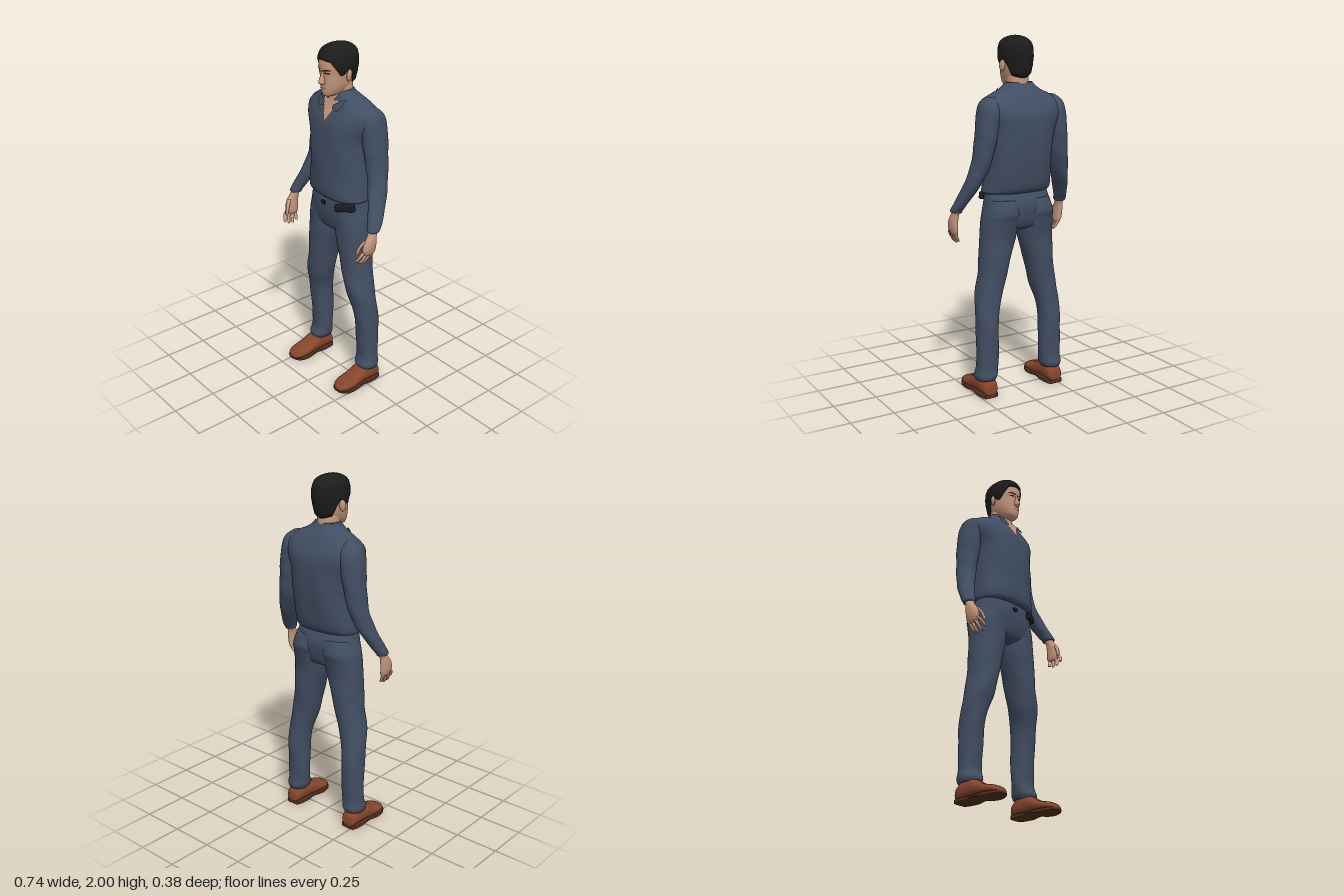
import * as THREE from 'three';
import { RoundedBoxGeometry } from 'three/addons/geometries/RoundedBoxGeometry.js';

const mat = (name, color, side = THREE.FrontSide) => {
  const m = new THREE.MeshStandardMaterial({ color, side });
  m.name = name;
  return m;
};

// Row = [height, centre x, half width, front z, back z]; smooth blend at t in 0..1
function rowAt(rows, t) {
  const f = t * (rows.length - 1), i = Math.min(Math.floor(f), rows.length - 2), u = f - i;
  const a = rows[Math.max(i - 1, 0)], b = rows[i], c = rows[i + 1], d = rows[Math.min(i + 2, rows.length - 1)];
  return b.map((v, k) => v + 0.5 * u * (c[k] - a[k] + u * (2 * a[k] - 5 * v + 4 * c[k] - d[k] + u * (3 * (v - c[k]) + d[k] - a[k]))));
}

function rowAtHeight(rows, y) {
  let lo = 0, hi = 1;
  for (let i = 0; i < 30; i++) {
    const m = (lo + hi) / 2;
    if (rowAt(rows, m)[0] < y) lo = m; else hi = m;
  }
  return rowAt(rows, lo);
}

const bend = (v, p) => Math.sign(v) * Math.pow(Math.abs(v), 2 / p);

function ringPoint([y, cx, rx, zf, zb], a, p, k = 1) {
  return [cx + k * rx * bend(Math.sin(a), p), y, (zf + zb) / 2 + k * (zf - zb) / 2 * bend(Math.cos(a), p)];
}

function build(pos, index) {
  const g = new THREE.BufferGeometry();
  g.setAttribute('position', new THREE.Float32BufferAttribute(pos, 3));
  g.setIndex(index);
  g.computeVertexNormals();
  return g;
}

// Closed skin over the rows; point(t, a) gives the surface
function skinOver(point, rings, n, caps = true) {
  const pos = [], index = [];
  for (let i = 0; i <= rings; i++)
    for (let j = 0; j < n; j++) pos.push(...point(i / rings, j / n * Math.PI * 2));
  for (let i = 0; i < rings; i++)
    for (let j = 0; j < n; j++) {
      const a = i * n + j, b = i * n + (j + 1) % n;
      index.push(a, b, a + n, b, b + n, a + n);
    }
  if (caps) for (const [ring, up] of [[0, false], [rings, true]]) {
    const c = pos.length / 3, mid = [0, 0, 0];
    for (let j = 0; j < n; j++) for (let k = 0; k < 3; k++) mid[k] += pos[(ring * n + j) * 3 + k] / n;
    pos.push(...mid);
    for (let j = 0; j < n; j++) {
      const a = ring * n + j, b = ring * n + (j + 1) % n;
      if (up) index.push(c, a, b); else index.push(c, b, a);
    }
  }
  return build(pos, index);
}

function loft(rows, { p = 2, n = 32, fold = () => 1 } = {}) {
  return skinOver((t, a) => {
    const r = rowAt(rows, t);
    return ringPoint(r, a, p, fold(a, r[0]));
  }, (rows.length - 1) * 5, n);
}

// Thin patch lying on the front of a lofted part
function patch(rows, p, x0, x1, low, high, off) {
  const pos = [], index = [], n = 12;
  for (let i = 0; i <= n; i++)
    for (let j = 0; j <= n; j++) {
      const x = x0 + (x1 - x0) * j / n, y = low(x) + (high(x) - low(x)) * i / n;
      const [, cx, rx, zf, zb] = rowAtHeight(rows, y);
      const q = Math.min(Math.abs((x - cx) / rx), 1);
      pos.push(x, y, (zf + zb) / 2 + (zf - zb) / 2 * Math.pow(1 - Math.pow(q, p), 1 / p) + off);
      if (i < n && j < n) {
        const a = i * (n + 1) + j;
        index.push(a, a + 1, a + n + 1, a + 1, a + n + 2, a + n + 1);
      }
    }
  return build(pos, index);
}

export function createModel() {
  const root = new THREE.Group();
  root.name = 'standingMan';
  const cloth = mat('navy cloth', 0x414e63, THREE.DoubleSide), skin = mat('skin', 0xc6977b, THREE.DoubleSide);
  const hairMat = mat('black hair', 0x1c1c1c, THREE.DoubleSide), leather = mat('brown leather', 0x87452b);
  const soleMat = mat('dark brown sole', 0x54301f), black = mat('black fittings', 0x1b1d21);
  const lipMat = mat('lips', 0xa56f5c, THREE.DoubleSide);
  const add = (name, geo, m, parent = root) => {
    const mesh = new THREE.Mesh(geo, m);
    mesh.name = name;
    parent.add(mesh);
    return mesh;
  };

  // Loose shirt, with a groove down the spine
  const shirt = [
    [1.15, -0.01, 0.18, 0.085, -0.09], [1.162, -0.008, 0.197, 0.11, -0.125], [1.2, -0.012, 0.196, 0.12, -0.148],
    [1.3, -0.012, 0.19, 0.12, -0.17], [1.4, -0.012, 0.19, 0.12, -0.185], [1.5, -0.014, 0.2, 0.112, -0.19],
    [1.58, -0.016, 0.232, 0.1, -0.185], [1.63, -0.016, 0.24, 0.08, -0.165], [1.66, -0.014, 0.222, 0.064, -0.148],
    [1.69, -0.016, 0.17, 0.052, -0.13], [1.71, -0.018, 0.125, 0.045, -0.115], [1.735, -0.02, 0.09, 0.035, -0.092],
    [1.752, -0.02, 0.076, 0.02, -0.08]];
  const shirtFold = (a, y) => {
    const mid = Math.exp(-(((y - 1.43) / 0.16) ** 2));
    return 1 + 0.008 * Math.sin(5 * a + 16 * y) - 0.07 * mid * Math.exp(-(((a - Math.PI) / 0.2) ** 2));
  };
  add('shirt', loft(shirt, { p: 2.4, n: 56, fold: shirtFold }), cloth);
  const vx = -0.012;
  add('openNeckline', patch(shirt, 2.4, vx - 0.055, vx + 0.055, x => 1.59 + Math.abs(x - vx) * 1.9, () => 1.705, 0.006), skin);
  for (const s of [-1, 1]) {
    const d = x => (Math.abs(x - vx) - 0.035) / 0.06;
    const ends = [vx + s * 0.035, vx + s * 0.095].sort((a, b) => a - b);
    add('collarFlap', patch(shirt, 2.4, ...ends, x => 1.665 - 0.02 * d(x) + 0.07 * Math.max(0, d(x) - 0.55),
      x => 1.685 + 0.035 * d(x), 0.014), cloth);
  }

  // Trousers: seat and two legs
  add('trouserSeat', loft([
    [0.935, -0.013, 0.03, 0.03, -0.04], [0.955, -0.013, 0.13, 0.065, -0.09], [0.98, -0.015, 0.2, 0.08, -0.112],
    [1.03, -0.015, 0.211, 0.092, -0.125], [1.1, -0.013, 0.195, 0.098, -0.13], [1.18, -0.012, 0.182, 0.088, -0.1]],
  { p: 2.4, n: 48 }), cloth);
  const offX = -0.013;
  for (const s of [-1, 1]) {
    const leg = [
      [0.1, 0.216, 0.055, 0.022, -0.098], [0.125, 0.214, 0.064, 0.03, -0.106], [0.16, 0.209, 0.063, 0.016, -0.1],
      [0.2, 0.2065, 0.063, 0.012, -0.1], [0.3, 0.205, 0.062, 0.02, -0.106], [0.4, 0.205, 0.06, 0.03, -0.11],
      [0.5, 0.197, 0.065, 0.045, -0.1], [0.6, 0.176, 0.075, 0.07, -0.095], [0.7, 0.154, 0.077, 0.077, -0.1],
      [0.8, 0.1375, 0.087, 0.08, -0.105], [0.9, 0.12, 0.1, 0.083, -0.108], [1.0, 0.11, 0.104, 0.083, -0.128],
      [1.05, 0.105, 0.1, 0.083, -0.142], [1.12, 0.1, 0.082, 0.07, -0.125]];
    add(s > 0 ? 'leftTrouserLeg' : 'rightTrouserLeg', loft(leg.map(([y, x, ...r]) => [y, s * x + offX, ...r]),
      { p: 2.2, n: 36, fold: (a, y) => 1 + (y < 0.8 ? 0.016 : 0.006) * Math.sin(3 * s * a + 30 * y) }), cloth);

    // Shoes are lofted heel to toe: [z, x, half width, -bottom, -top]
    const sx = s * 0.215 - 0.015;
    const shoe = [
      [-0.106, 0.022, 0.05], [-0.098, 0.04, 0.085], [-0.06, 0.05, 0.112], [-0.01, 0.052, 0.118], [0.03, 0.054, 0.108],
      [0.07, 0.057, 0.085], [0.11, 0.059, 0.07], [0.15, 0.054, 0.06], [0.178, 0.039, 0.047], [0.191, 0.016, 0.033]];
    const upper = shoe.map(([z, w, h]) => [z, sx, w, -0.014, -h]);
    const lift = [0.004, 0, 0, 0.001, 0.011, 0.004, 0, 0.002, 0.008, 0.012];
    const sole = shoe.map(([z, w], i) => [z * 1.01, sx, w + 0.003, -lift[i], -0.024]);
    add('shoeUpper', loft(upper, { p: 2.4 }).rotateX(Math.PI / 2), leather);
    add('shoeSole', loft(sole, { p: 6 }).rotateX(Math.PI / 2), soleMat);
  }

  // Sleeves and hands
  for (const s of [-1, 1]) {
    const arm = new THREE.Group();
    arm.name = s > 0 ? 'leftArm' : 'rightArm';
    root.add(arm);
    const place = rows => rows.map(([y, x, ...r]) => [y, s * x - 0.005 - 0.011 * Math.max(0, Math.min(1, (y - 1.06) / 0.5)), ...r]);
    add('sleeve', loft(place([
      [1.055, 0.335, 0.027, 0.076, 0.012], [1.066, 0.336, 0.033, 0.084, 0.008], [1.1, 0.325, 0.035, 0.07, -0.018],
      [1.2, 0.286, 0.043, 0.03, -0.078], [1.3, 0.253, 0.051, 0.002, -0.115], [1.4, 0.233, 0.054, 0.002, -0.135],
      [1.5, 0.219, 0.058, 0.008, -0.145], [1.6, 0.203, 0.062, 0.018, -0.145], [1.65, 0.195, 0.054, 0.005, -0.125],
      [1.682, 0.187, 0.02, -0.035, -0.085]]),
    { fold: (a, y) => 1 + 0.022 * Math.sin(2 * a + 48 * y) * (y < 1.5 ? 1 : 0.3) }), cloth, arm);
    add('palm', loft(place([
      [0.925, 0.334, 0.01, 0.1, 0.05], [0.94, 0.337, 0.017, 0.116, 0.038], [0.97, 0.341, 0.021, 0.122, 0.034],
      [1.01, 0.342, 0.022, 0.108, 0.032], [1.04, 0.339, 0.022, 0.085, 0.03], [1.085, 0.332, 0.023, 0.07, 0.01]]),
    { n: 24 }), skin, arm);
    // Four curled fingers and a thumb, each [knuckle, middle, tip] as [x, y, z]
    const digits = [0, 1, 2, 3].map(i => {
      const z = 0.046 + i * 0.021, drop = [0.01, 0, 0.004, 0.02][i];
      return [[0.337, 0.955, z], [0.333, 0.91 + drop, z + 0.012 + i * 0.004], [0.312, 0.873 + drop, z + 0.022 + i * 0.006]];
    });
    digits.push([[0.333, 1.015, 0.1], [0.317, 0.975, 0.126], [0.308, 0.935, 0.138]]);
    digits.forEach((d, i) => {
      const curve = new THREE.CatmullRomCurve3(d.map(v => new THREE.Vector3(...v)));
      const rows = [0, 0.04, 0.15, 0.5, 0.8, 1].map((u, k) => {
        const q = curve.getPoint(1 - u), r = [0.002, 0.006, 0.0085, 0.0095, 0.0105, 0.009][k];
        return [q.y, q.x, r, q.z + r, q.z - r];
      });
      add(i < 4 ? 'finger' : 'thumb', loft(place(rows), { n: 12 }), skin, arm);
    });
  }

  // Neck and head
  const hx = -0.016;
  add('neck', loft([
    [1.6, hx, 0.065, 0.04, -0.09], [1.68, hx, 0.062, 0.052, -0.085], [1.74, hx, 0.06, 0.047, -0.085],
    [1.82, hx, 0.06, 0.05, -0.08]]), skin);
  const head = [
    [1.724, hx, 0.015, 0.085, 0.05], [1.732, hx, 0.034, 0.096, 0.005], [1.75, hx, 0.05, 0.102, -0.04],
    [1.78, hx, 0.063, 0.104, -0.07], [1.81, hx, 0.07, 0.104, -0.085], [1.85, hx, 0.075, 0.105, -0.095],
    [1.88, hx, 0.077, 0.111, -0.1], [1.92, hx, 0.077, 0.108, -0.1], [1.96, hx, 0.065, 0.09, -0.09],
    [1.985, hx, 0.035, 0.05, -0.05]];
  add('head', loft(head, { p: 2.2, n: 40 }), skin);
  add('nose', loft([
    [1.792, hx, 0.007, 0.112, 0.08], [1.8, hx, 0.017, 0.127, 0.08], [1.812, hx, 0.015, 0.13, 0.08],
    [1.835, hx, 0.01, 0.121, 0.08], [1.868, hx, 0.008, 0.11, 0.08]], { n: 16 }), skin);
  add('mouth', patch(head, 2.2, hx - 0.026, hx + 0.026, x => 1.768 + 6 * (x - hx) ** 2, x => 1.779 - 6 * (x - hx) ** 2, 0.002), lipMat);
  for (const s of [-1, 1]) {
    const ex = hx + s * 0.031, q = x => (x - ex) / 0.019;
    add('eye', patch(head, 2.2, ex - 0.015, ex + 0.015, x => 1.852 + 0.004 * q(x) ** 2, x => 1.861 - 0.004 * q(x) ** 2, 0.002), black);
    add('eyebrow', patch(head, 2.2, ex - 0.021, ex + 0.021, x => 1.868 + s * 0.002 * q(x), x => 1.877 + s * 0.002 * q(x) - 0.003 * q(x) ** 2, 0.003), hairMat);
    const ear = add('ear', new THREE.SphereGeometry(1, 16, 12), skin);
    ear.scale.set(0.011, 0.032, 0.019);
    ear.position.set(hx + s * 0.085, 1.84, -0.004);
    ear.rotation.set(-0.15, s * 0.35, 0);
  }

  // Short hair with a shaped edge: [degrees from the front, edge height]
  const hairRows = [
    [1.76, hx, 0.06, 0.1, -0.082], [1.8, hx, 0.074, 0.105, -0.1], [1.85, hx, 0.083, 0.109, -0.111],
    [1.9, hx, 0.087, 0.116, -0.116], [1.95, hx, 0.08, 0.109, -0.109], [1.98, hx, 0.06, 0.083, -0.082],
    [1.995, hx, 0.03, 0.045, -0.045], [2.0, hx, 0.003, 0.005, -0.005]];
  const edge = [[0, 1.922], [35, 1.914], [55, 1.87], [68, 1.836], [82, 1.845], [95, 1.872], [108, 1.835], [125, 1.788], [180, 1.768]];
  const edgeAt = a => {
    const deg = Math.min(a, Math.PI * 2 - a) * 180 / Math.PI;
    const i = Math.max(1, edge.findIndex(e => e[0] >= deg - 1e-6));
    const [d0, y0] = edge[i - 1], [d1, y1] = edge[i];
    return y0 + (y1 - y0) * (deg - d0) / (d1 - d0);
  };
  add('hair', skinOver((t, a) => {
    const low = edgeAt(a), y = low + (1.9999 - low) * (1 - (1 - t) ** 1.7);
    const tuft = 1 + 0.012 * Math.sin(11 * a + 60 * y) * Math.sin(7 * a - 95 * y);
    return ringPoint(rowAtHeight(hairRows, y), a, 2.2, t === 0 ? 0.9 : tuft);
  }, 26, 72), hairMat);

  // Waist fittings
  add('beltBuckle', new RoundedBoxGeometry(0.03, 0.022, 0.014, 2, 0.004), black).position.set(-0.025, 1.115, 0.098);
  const pouch = add('beltPouch', new RoundedBoxGeometry(0.118, 0.042, 0.026, 3, 0.01), black);
  pouch.position.set(0.13, 1.127, 0.076);
  pouch.rotation.set(0, 0.5, 0.14);
  return root;
}
